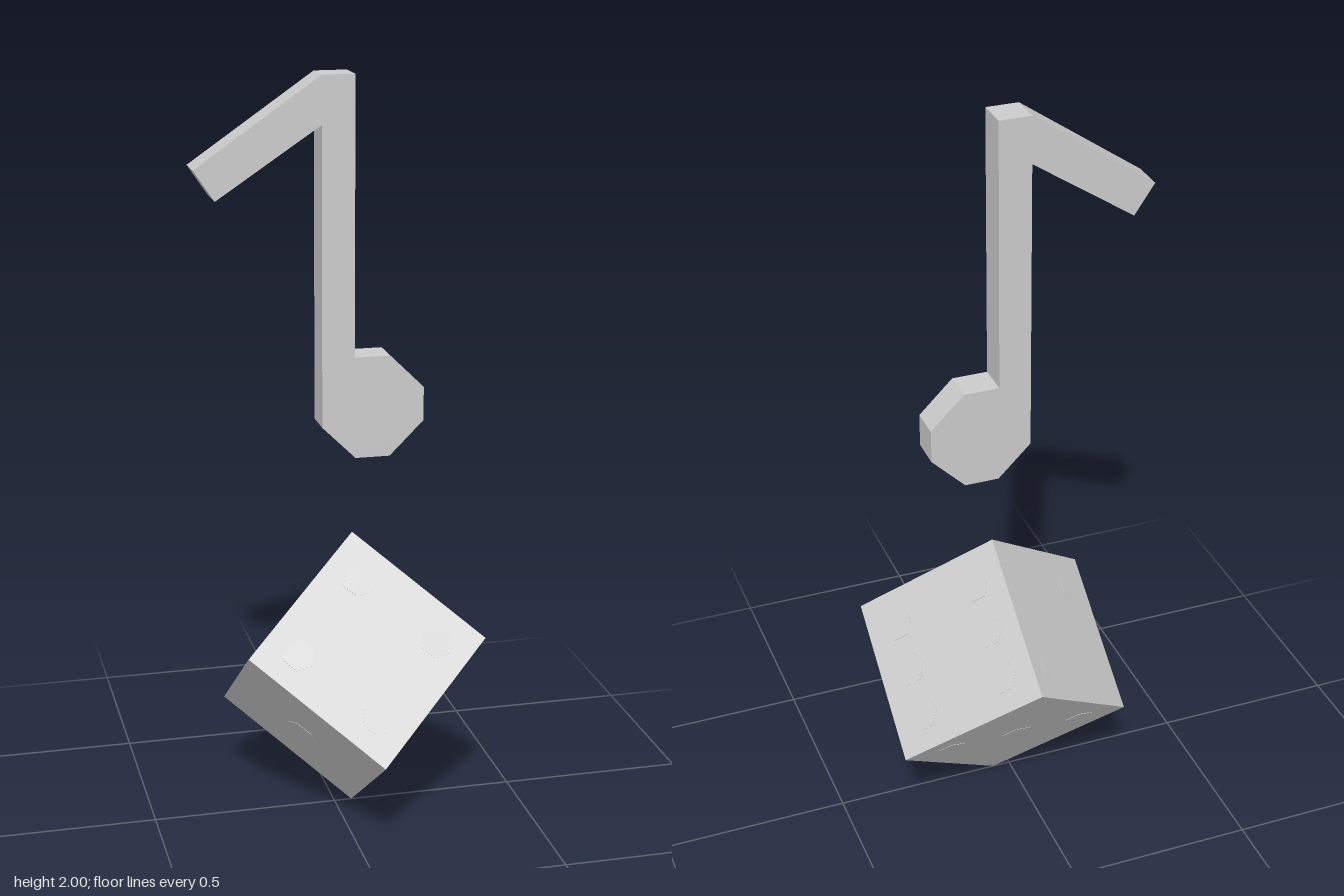
import * as THREE from 'three';

const material = new THREE.MeshStandardMaterial({ color: 0xcccccc, flatShading: true });

function part(name, geometry) {
  const mesh = new THREE.Mesh(geometry, material);
  mesh.name = name;
  return mesh;
}

// Musical note: one flat outline (stem, flag and octagonal head) with thickness
function makeNote() {
  const outline = [
    [0.043, 2], [-0.043, 2], [-0.37, 1.775], [-0.316, 1.695], [-0.043, 1.876],
    [-0.043, 1.092], [0.046, 1.004], [0.138, 1.004], [0.229, 1.095],
    [0.229, 1.185], [0.138, 1.275], [0.043, 1.275],
  ];
  const shape = new THREE.Shape(outline.map(([x, y]) => new THREE.Vector2(x, y)));
  const depth = 0.09;
  const geometry = new THREE.ExtrudeGeometry(shape, { depth, bevelEnabled: false });
  return part('musicalNote', geometry.translate(0, 0, -depth / 2));
}

// Die balanced on one corner; its local axes run down from the top corner
function makeDie() {
  const size = 0.453;
  const die = new THREE.Group();
  die.name = 'die';
  die.add(part('dieBody', new THREE.BoxGeometry(size, size, size)));

  const X = new THREE.Vector3(1, 0, 0);
  const Y = new THREE.Vector3(0, 1, 0);
  const Z = new THREE.Vector3(0, 0, 1);
  const two = [[1, -1], [-1, 1]];
  const four = [...two, [1, 1], [-1, -1]];

  // Each face: outward normal, two face axes, pip places along those axes
  const faces = [
    [Z.clone().negate(), X, Y, four],
    [Y.clone().negate(), X, Z, [...four, [1, 0], [-1, 0]]],
    [X.clone().negate(), Z, Y, two],
    [Z, X, Y, [...two, [0, 0]]],
    [Y, X, Z, [[0, 0]]],
    [X, Z, Y, [...four, [0, 0]]],
  ];
  const pipGeometry = new THREE.CylinderGeometry(0.045, 0.045, 0.004, 6);
  const spacing = 0.29 * size;
  for (const [normal, a, b, places] of faces) {
    const turn = new THREE.Matrix4().makeBasis(normal.clone().cross(a), normal, a);
    for (const [i, j] of places) {
      const pip = part('pip', pipGeometry);
      pip.quaternion.setFromRotationMatrix(turn);
      // Almost flush with the face
      pip.position.copy(normal).multiplyScalar(size / 2 - 0.001)
        .addScaledVector(a, i * spacing)
        .addScaledVector(b, j * spacing);
      die.add(pip);
    }
  }

  const drop = -1 / Math.sqrt(3);
  const side = Math.SQRT1_2;
  const out = 1 / Math.sqrt(6);
  const basis = new THREE.Matrix4().makeBasis(
    new THREE.Vector3(side, drop, out),
    new THREE.Vector3(-side, drop, out),
    new THREE.Vector3(0, drop, -2 * out),
  );
  die.quaternion.setFromRotationMatrix(basis);
  die.position.set(0.048, size * Math.sqrt(3) / 2, 0);
  return die;
}

export function createModel() {
  const model = new THREE.Group();
  model.name = 'noteAndDie';
  model.add(makeDie(), makeNote());
  return model;
}
